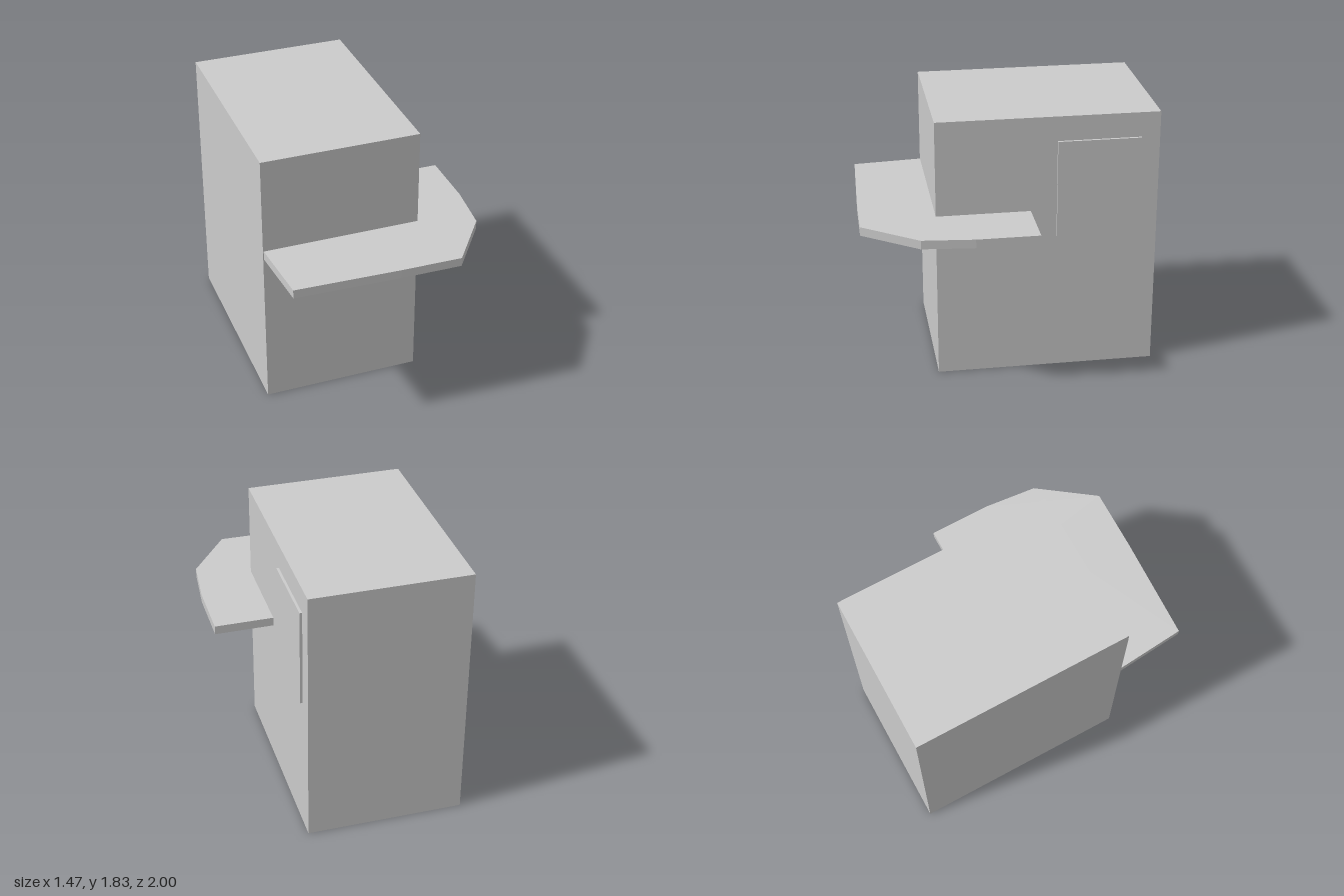
import * as THREE from 'three';

const material = new THREE.MeshStandardMaterial({ color: 0xcccccc, flatShading: true });

// Box given by its minimum and maximum corners
function box(name, min, max) {
  const size = max.map((v, i) => v - min[i]);
  const mesh = new THREE.Mesh(new THREE.BoxGeometry(...size), material);
  mesh.position.set(...max.map((v, i) => (v + min[i]) / 2));
  mesh.name = name;
  return mesh;
}

export function createModel() {
  const group = new THREE.Group();
  group.name = 'kiosk';

  // Main block and the thin panel on its left side
  group.add(box('body', [-0.735, 0, -1], [0.335, 1.825, 0.495]));
  group.add(box('sidePanel', [0.335, 0.98, -0.875], [0.352, 1.655, -0.315]));

  // Counter wrapping the front and left side, outlined as (x, z)
  const outline = [
    [-0.73, 0.495], [-0.69, 0.97], [0.02, 0.995], [0.43, 1], [0.7, 0.63],
    [0.735, 0.28], [0.735, -0.14], [0.335, -0.14], [0.335, 0.495],
  ];
  const shape = new THREE.Shape(outline.map(([x, z]) => new THREE.Vector2(x, -z)));
  const geometry = new THREE.ExtrudeGeometry(shape, { depth: 0.06, bevelEnabled: false });
  geometry.rotateX(-Math.PI / 2);
  const counter = new THREE.Mesh(geometry, material);
  counter.position.y = 1.11;
  counter.name = 'counter';
  group.add(counter);

  return group;
}
